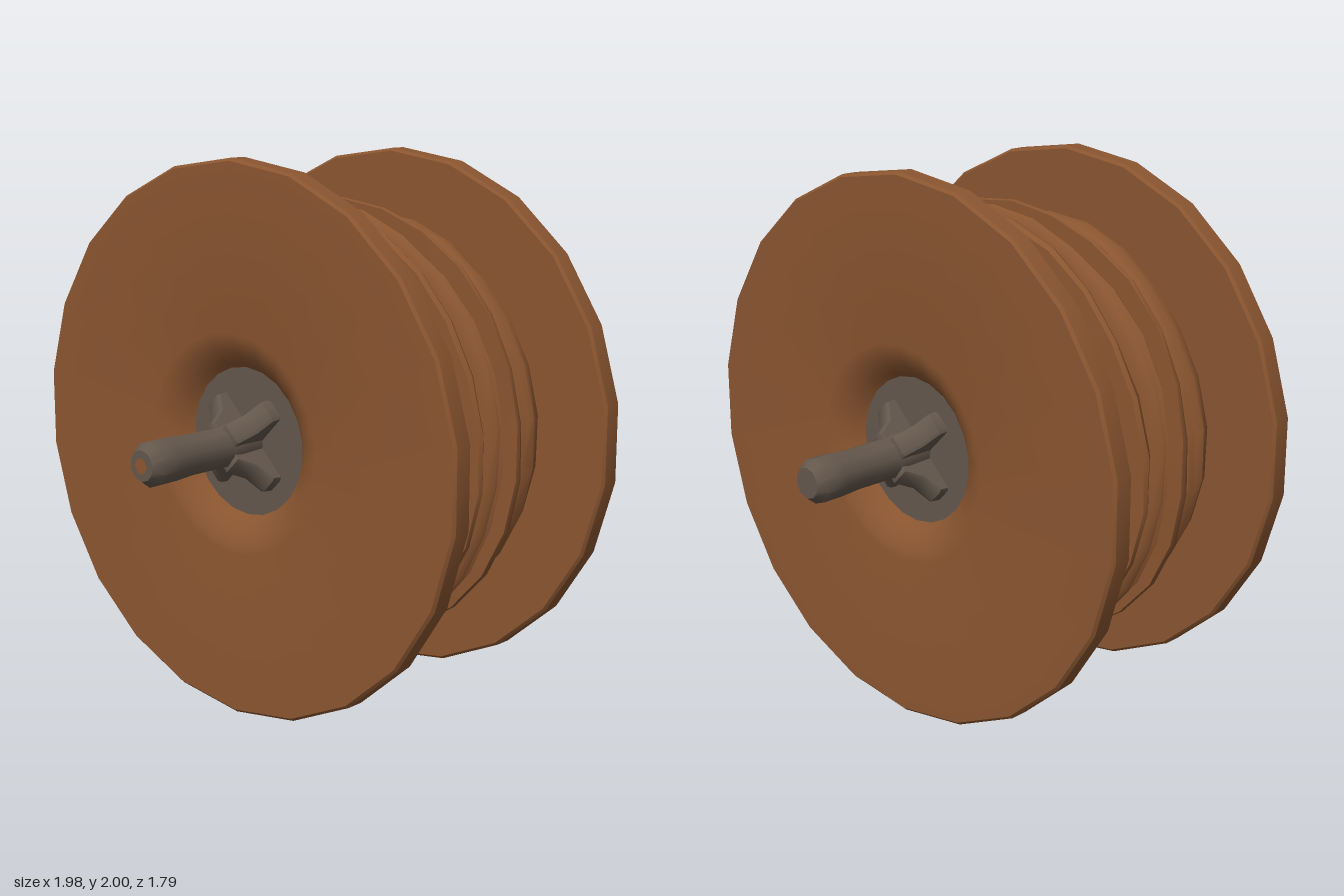
import * as THREE from 'three';
import { toCreasedNormals } from 'three/addons/utils/BufferGeometryUtils.js';

const wood = new THREE.MeshStandardMaterial({ color: 0x8a5530 });
wood.name = 'brown';
const metal = new THREE.MeshStandardMaterial({ color: 0x64574c });
metal.name = 'dark grey';

// Turns [radius, z] pairs around the z axis; pairs run from back to front on the outside
function turned(profile, sides, crease = 0.6, wobble = 0) {
  const geo = new THREE.LatheGeometry(profile.map(([r, z]) => new THREE.Vector2(r, z)), sides);
  geo.rotateX(Math.PI / 2);
  const p = geo.attributes.position;
  for (let i = 0; wobble && i < p.count; i++) {
    const x = p.getX(i), y = p.getY(i), z = p.getZ(i);
    const a = Math.atan2(y, x);
    const k = 1 + wobble * Math.sin(3 * a + z * 40) * Math.cos(2 * a - z * 23);
    p.setXYZ(i, x * k, y * k, z + wobble * 0.35 * Math.cos(5 * a) * Math.sin(z * 20));
  }
  return toCreasedNormals(geo, crease);
}

function add(parent, name, geo, mat) {
  const mesh = new THREE.Mesh(geo, mat);
  mesh.name = name;
  parent.add(mesh);
  return mesh;
}

// One end of the reel, facing +z
function makeEnd() {
  const end = new THREE.Group();
  // Flange with a sloping dish in the middle
  add(end, 'flange', turned([
    [0.45, 0.385], [0.99, 0.385], [1, 0.395], [1, 0.46], [0.99, 0.47],
    [0.4, 0.47], [0.37, 0.465], [0.32, 0.44], [0.285, 0.41], [0.26, 0.385],
  ], 22), wood);
  add(end, 'flangeStep', turned([[0.4, 0.355], [0.53, 0.355], [0.53, 0.387]], 22), wood);
  add(end, 'hubPlate', new THREE.CircleGeometry(0.275, 22).translate(0, 0, 0.393), metal);

  // Axle stub with bevelled tip
  add(end, 'axle', turned([
    [0.078, 0.38], [0.08, 0.5], [0.074, 0.53], [0.073, 0.7], [0.079, 0.78],
    [0.08, 0.86], [0.055, 0.895], [0, 0.895],
  ], 10, 0.7, 0.02), metal);

  // Four sloping webs that brace the axle
  const web = new THREE.Shape([
    [0, 0.38], [0.19, 0.38], [0.185, 0.425], [0.12, 0.46], [0.08, 0.525], [0, 0.525],
  ].map(([x, y]) => new THREE.Vector2(x, y)));
  const webGeo = toCreasedNormals(new THREE.ExtrudeGeometry(web, {
    depth: 0.06, bevelEnabled: true, bevelSize: 0.008, bevelThickness: 0.012, bevelSegments: 1,
  }).translate(0, 0, -0.03).rotateX(Math.PI / 2), 0.8);
  for (let i = 0; i < 4; i++) {
    add(end, 'axleWeb', webGeo, metal).rotation.z = Math.PI / 4 + i * Math.PI / 2;
  }
  return end;
}

export function createModel() {
  const reel = new THREE.Group();
  reel.name = 'cableReel';
  const body = new THREE.Group();
  body.name = 'reelBody';
  body.position.y = 1;
  reel.add(body);

  const front = makeEnd();
  front.name = 'frontEnd';
  const back = makeEnd();
  back.name = 'backEnd';
  back.rotation.y = Math.PI;
  body.add(front, back);

  // Worn spot on the front tip of the axle
  add(body, 'tipSpot', new THREE.CircleGeometry(0.03, 6).translate(0, 0, 0.898), wood);

  // Wound cable: half a profile of ridges and grooves, mirrored about z = 0
  const half = [
    [0.81, 0.012], [0.785, 0.028], [0.735, 0.033], [0.775, 0.042], [0.79, 0.06], [0.77, 0.078],
    [0.73, 0.09], [0.73, 0.097], [0.825, 0.099], [0.832, 0.115], [0.825, 0.131], [0.73, 0.136],
    [0.75, 0.15], [0.74, 0.164], [0.785, 0.17], [0.795, 0.188], [0.78, 0.208], [0.725, 0.214],
    [0.755, 0.228], [0.765, 0.27], [0.76, 0.305], [0.73, 0.335], [0.68, 0.35], [0.62, 0.36], [0.45, 0.365],
  ];
  const profile = [...half.map(([r, z]) => [r, -z]).reverse(), [0.82, 0], ...half];
  add(body, 'woundCable', turned(profile, 26, 0.7, 0.014), wood);

  return reel;
}
